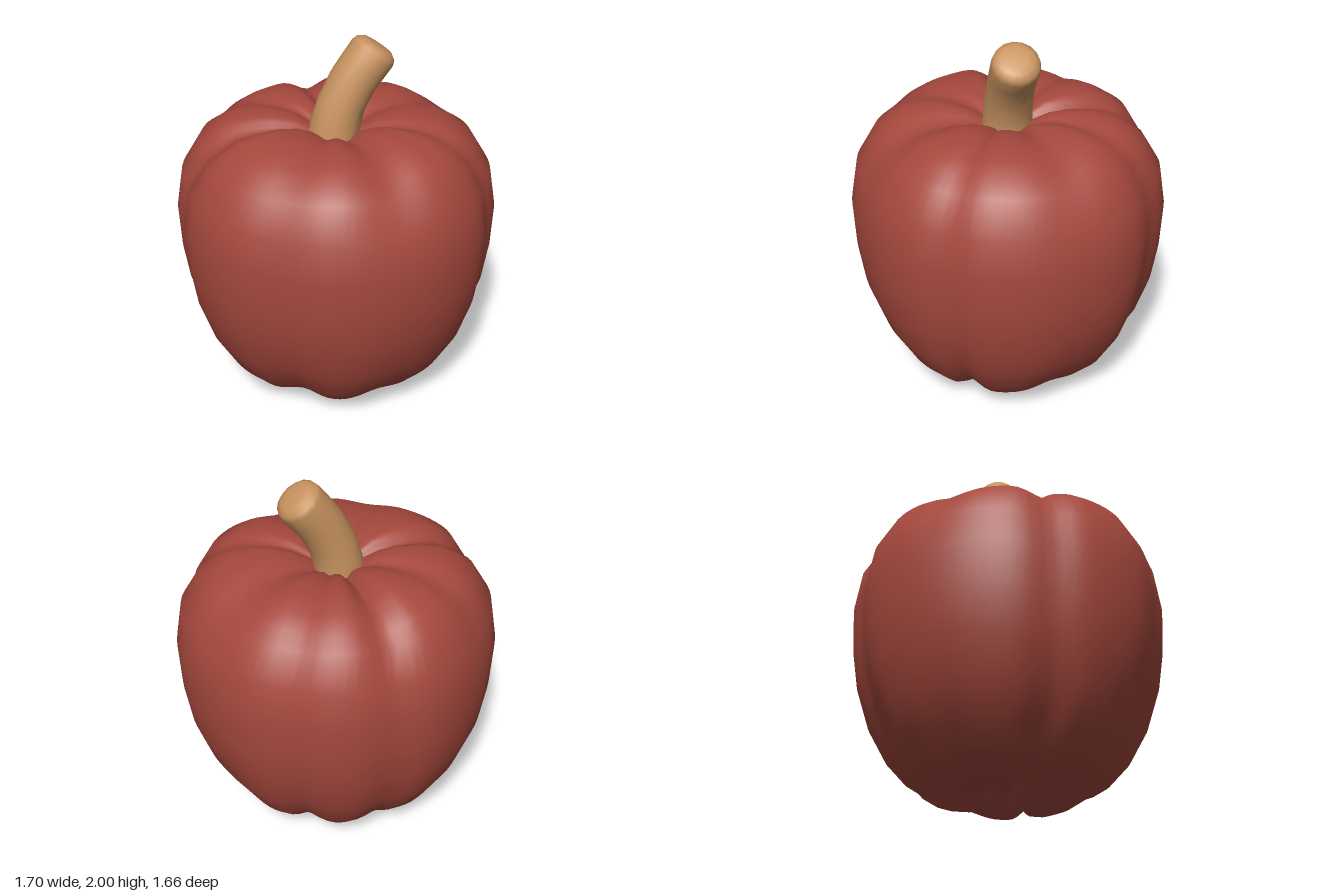
import * as THREE from 'three';

const RAD = Math.PI / 180;

// Skin a closed surface over equal-sized rings of Vector3, ordered bottom to top.
function loft(rings) {
  const n = rings[0].length, index = [];
  for (let i = 0; i < rings.length - 1; i++) {
    for (let j = 0; j < n; j++) {
      const a = i * n + j, b = i * n + (j + 1) % n;
      index.push(a, a + n, b, b, a + n, b + n);
    }
  }
  const geometry = new THREE.BufferGeometry().setFromPoints(rings.flat());
  geometry.setIndex(index);
  geometry.computeVertexNormals();
  return geometry;
}

// Lobe profile (radius, height) from the bottom dimple to the top dimple.
const PROFILE = [
  [0.004, 0.12], [0.05, 0.1], [0.11, 0.05], [0.18, 0.015], [0.26, 0.004], [0.38, 0.03], [0.46, 0.06],
  [0.54, 0.11], [0.65, 0.23], [0.75, 0.41], [0.82, 0.63], [0.85, 0.83], [0.86, 1.07],
  [0.825, 1.28], [0.725, 1.45], [0.64, 1.51], [0.55, 1.56], [0.43, 1.58], [0.32, 1.58],
  [0.22, 1.56], [0.14, 1.52], [0.07, 1.48], [0.004, 1.46],
];

// Grooves between lobes: angle from +x towards +z, width, depth at bottom, side and top.
const GROOVES = [
  [34, 7, 0.05, 0.03, 0.025],
  [82, 14, 0.03, 0.006, 0.05],
  [128, 13, 0.05, 0.03, 0.025],
  [183, 8, 0.055, 0.03, 0.055],
  [226, 9, 0.02, 0.0, 0.025],
  [270, 9, 0.04, 0.03, 0.06],
  [307, 8, 0.05, 0.03, 0.025],
  [345, 14, 0.03, 0.008, 0.03],
];

function grooveDepth(angle, r, y) {
  const top = THREE.MathUtils.smoothstep(y, 1.1, 1.55);
  const bottom = 1 - THREE.MathUtils.smoothstep(y, 0.05, 0.6);
  let depth = 0;
  for (const [at, width, low, side, high] of GROOVES) {
    const d = ((angle - at + 540) % 360) - 180;
    const amount = low * bottom + high * top + side * (1 - top - bottom);
    depth += amount * Math.exp(-((d / width) ** 2));
  }
  return depth * Math.min(1, r / 0.25);
}

// Lobed fruit: each profile point is pushed inwards along its normal in the grooves.
function bodyGeometry() {
  const sides = 96;
  const rings = PROFILE.map(([r, y], i) => {
    const a = PROFILE[Math.max(i - 1, 0)], b = PROFILE[Math.min(i + 1, PROFILE.length - 1)];
    const normal = new THREE.Vector2(b[1] - a[1], a[0] - b[0]).normalize();
    return Array.from({ length: sides }, (_, j) => {
      const angle = (j * 360) / sides;
      const d = grooveDepth(angle, r, y);
      const radius = Math.max(0.002, r - normal.x * d);
      return new THREE.Vector3(
        radius * Math.cos(angle * RAD), y - normal.y * d, radius * Math.sin(angle * RAD) * 0.98);
    });
  });
  return loft(rings);
}

// Bent stem: centre x, y, ring radius and lean towards +x in degrees.
const STEM = [
  [-0.015, 1.42, 0.14, 4], [-0.005, 1.53, 0.132, 10], [0.03, 1.65, 0.126, 18],
  [0.09, 1.765, 0.124, 28], [0.145, 1.84, 0.125, 34], [0.195, 1.905, 0.126, 35],
  [0.211, 1.93, 0.118, 35], [0.224, 1.949, 0.088, 35], [0.227, 1.953, 0.05, 35], [0.228, 1.954, 0.001, 35],
];

function stemGeometry() {
  const sides = 16;
  return loft(STEM.map(([x, y, r, lean]) => Array.from({ length: sides }, (_, j) => {
    const angle = (j / sides) * Math.PI * 2;
    const across = r * Math.cos(angle);
    return new THREE.Vector3(
      x + across * Math.cos(lean * RAD), y - across * Math.sin(lean * RAD), r * Math.sin(angle));
  })));
}

export function createModel() {
  const red = new THREE.MeshStandardMaterial({ name: 'pepper red', color: 0xa5483d });
  const tan = new THREE.MeshStandardMaterial({ name: 'stem tan', color: 0xc8935f });

  const group = new THREE.Group();
  group.name = 'bellPepper';

  const body = new THREE.Mesh(bodyGeometry(), red);
  body.name = 'body';
  const stem = new THREE.Mesh(stemGeometry(), tan);
  stem.name = 'stem';
  group.add(body, stem);
  return group;
}
